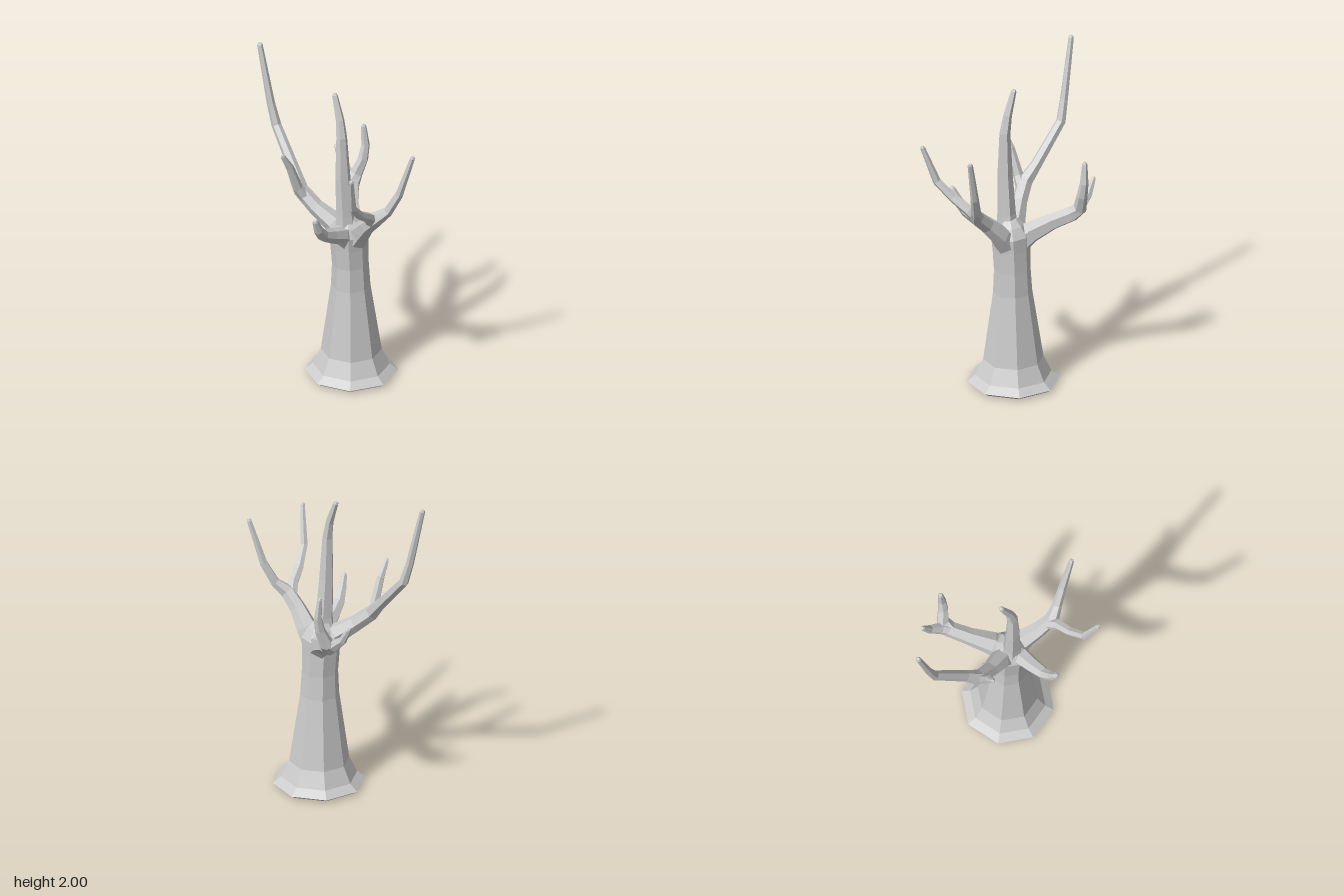
import * as THREE from 'three';

const material = new THREE.MeshStandardMaterial({ color: 0xcccccc, flatShading: true });

// Faceted tube along stations [x, y, z, radius], closed at both ends
function loft(name, stations, sides) {
  const centres = stations.map(s => new THREE.Vector3(s[0], s[1], s[2]));
  const last = centres.length - 1;
  const positions = [], index = [];
  const u = new THREE.Vector3(1, 0, 0);
  centres.forEach((c, i) => {
    // Average direction of the neighbouring segments, carrying the side axis along
    const t = new THREE.Vector3();
    if (i > 0) t.add(c.clone().sub(centres[i - 1]).normalize());
    if (i < last) t.add(centres[i + 1].clone().sub(c).normalize());
    t.normalize();
    if (i === 0 && Math.abs(t.x) > 0.9) u.set(0, 0, 1);
    u.addScaledVector(t, -u.dot(t)).normalize();
    const v = t.clone().cross(u);
    for (let j = 0; j < sides; j++) {
      const a = (j / sides) * Math.PI * 2, r = stations[i][3];
      const p = c.clone().addScaledVector(u, Math.cos(a) * r).addScaledVector(v, Math.sin(a) * r);
      positions.push(p.x, p.y, p.z);
    }
  });
  const bottom = positions.length / 3, top = bottom + 1;
  positions.push(...centres[0].toArray(), ...centres[last].toArray());
  for (let j = 0; j < sides; j++) {
    const k = (j + 1) % sides;
    for (let i = 0; i < last; i++) {
      const a = i * sides + j, b = i * sides + k;
      index.push(a, b, b + sides, a, b + sides, a + sides);
    }
    index.push(k, j, bottom, last * sides + j, last * sides + k, top);
  }
  const geometry = new THREE.BufferGeometry();
  geometry.setAttribute('position', new THREE.Float32BufferAttribute(positions, 3));
  geometry.setIndex(index);
  geometry.computeVertexNormals();
  const mesh = new THREE.Mesh(geometry, material);
  mesh.name = name;
  return mesh;
}

// Branch with a small bevelled tip
function branch(name, stations) {
  const [a, b] = stations.slice(-2);
  const A = new THREE.Vector3(...a), B = new THREE.Vector3(...b);
  const neck = B.clone().lerp(A, 0.012 / A.distanceTo(B));
  return loft(name, [...stations.slice(0, -1), [neck.x, neck.y, neck.z, b[3]], [...B.toArray(), b[3] * 0.6]], 6);
}

export function createModel() {
  const tree = new THREE.Group();
  tree.name = 'bareTree';

  // Eight-sided trunk with flared foot and domed crown
  tree.add(loft('trunk', [
    [0.105, 0, -0.02, 0.25], [0.105, 0.02, -0.02, 0.28], [0.105, 0.06, -0.02, 0.23],
    [0.105, 0.16, -0.02, 0.182], [0.105, 0.6, -0.015, 0.118], [0.105, 0.75, -0.012, 0.11],
    [0.103, 0.88, -0.005, 0.114], [0.105, 0.97, 0, 0.118], [0.105, 1.03, 0.005, 0.085],
    [0.105, 1.07, 0.01, 0.05],
  ], 8));

  // Central leader
  tree.add(branch('centralBranch', [
    [0.105, 0.98, 0.02, 0.07], [0.105, 1.1, 0.03, 0.056], [0.1, 1.35, 0.045, 0.046],
    [0.095, 1.62, 0.05, 0.033], [0.075, 1.73, 0.045, 0.026], [0.02, 1.885, 0.038, 0.017],
  ]));

  // Tall branch to the right side, with a twig facing forward
  tree.add(branch('tallRightBranch', [
    [0.1, 0.89, 0, 0.08], [0.01, 1.01, 0.04, 0.064], [-0.09, 1.085, 0.085, 0.05],
    [-0.19, 1.175, 0.115, 0.047], [-0.27, 1.265, 0.09, 0.035], [-0.465, 1.485, 0.055, 0.03],
    [-0.505, 1.62, 0.062, 0.025], [-0.592, 2.0, 0.073, 0.017],
  ]));
  tree.add(branch('tallRightTwig', [
    [-0.15, 1.12, 0.1, 0.04], [-0.175, 1.21, 0.155, 0.032],
    [-0.18, 1.37, 0.215, 0.024], [-0.187, 1.47, 0.272, 0.014],
  ]));

  // Rear branch, forked at its end
  tree.add(branch('rearBranch', [
    [0.11, 0.89, -0.01, 0.085], [0.03, 0.98, -0.09, 0.07], [-0.07, 1.04, -0.18, 0.053],
    [-0.15, 1.085, -0.265, 0.05], [-0.165, 1.13, -0.315, 0.042], [-0.14, 1.23, -0.35, 0.033],
    [-0.137, 1.32, -0.368, 0.026], [-0.15, 1.455, -0.363, 0.016],
  ]));
  tree.add(branch('rearTwig', [
    [-0.12, 1.07, -0.24, 0.04], [-0.2, 1.12, -0.29, 0.038],
    [-0.27, 1.18, -0.3, 0.026], [-0.322, 1.275, -0.302, 0.016],
  ]));

  // Left branch, forked into two long arms
  tree.add(branch('leftBranch', [
    [0.12, 0.88, -0.01, 0.08], [0.21, 1.0, 0, 0.066], [0.3, 1.095, 0.03, 0.05],
    [0.385, 1.175, 0.04, 0.045], [0.445, 1.235, 0.0, 0.03],
    [0.505, 1.36, -0.035, 0.025], [0.592, 1.64, -0.066, 0.016],
  ]));
  tree.add(branch('leftFrontArm', [
    [0.345, 1.13, 0.03, 0.04], [0.385, 1.205, 0.1, 0.033], [0.41, 1.27, 0.2, 0.028],
    [0.445, 1.365, 0.295, 0.025], [0.504, 1.6, 0.362, 0.015],
  ]));

  // Short front branch
  tree.add(branch('frontBranch', [
    [0.115, 0.91, 0.02, 0.075], [0.14, 0.99, 0.1, 0.055], [0.155, 1.025, 0.19, 0.046],
    [0.175, 1.07, 0.28, 0.037], [0.19, 1.13, 0.33, 0.03], [0.2, 1.215, 0.372, 0.018],
  ]));

  return tree;
}
